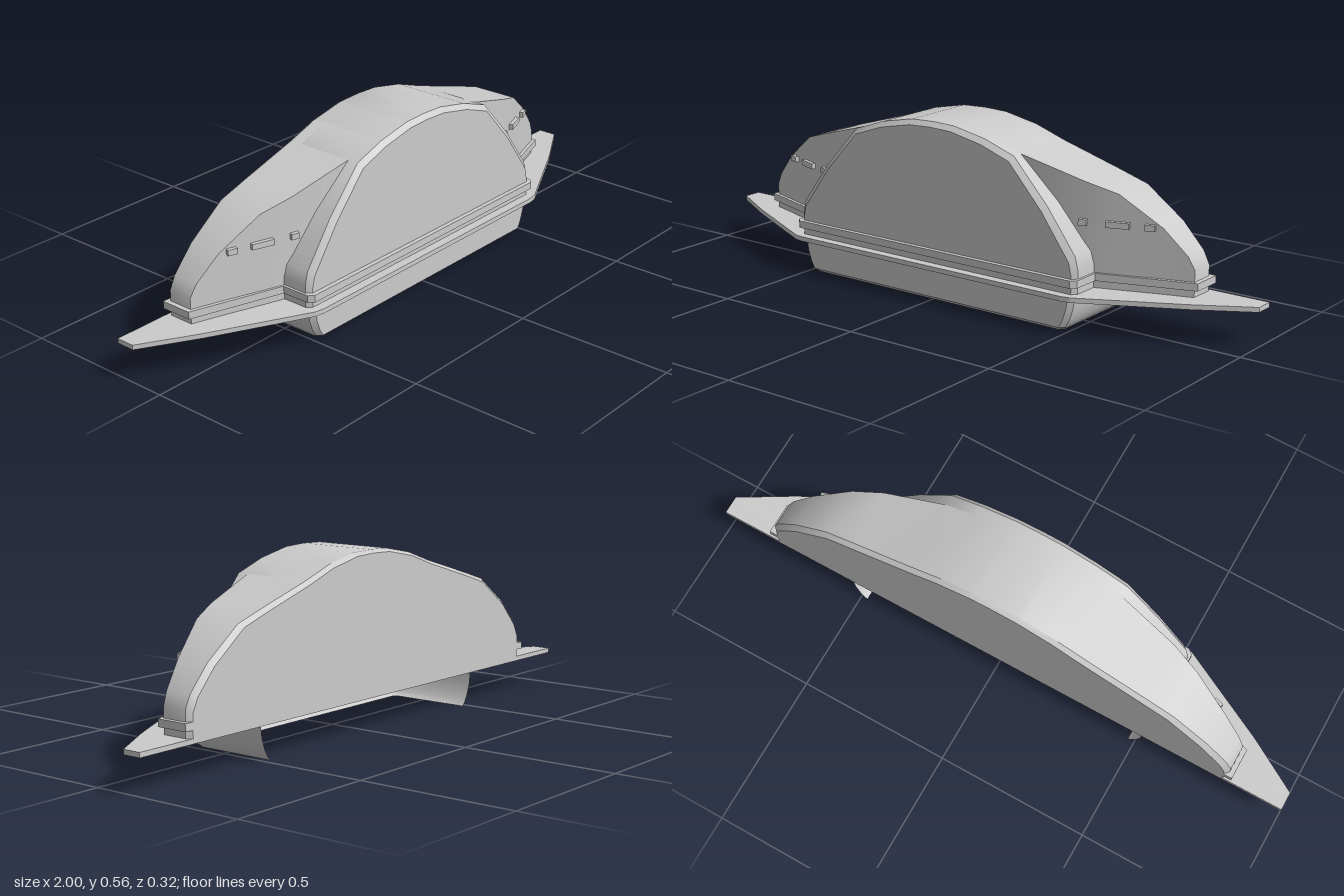
import * as THREE from 'three';
import { toCreasedNormals } from 'three/addons/utils/BufferGeometryUtils.js';

const grey = new THREE.MeshStandardMaterial({ color: 0xcccccc });
const greyThin = new THREE.MeshStandardMaterial({ color: 0xcccccc, side: THREE.DoubleSide });

const BACK = -0.16;
const BASE = 0.12;

// Half outline -> full outline running from +x to -x
const mirror = (half) => [...half, ...half.filter((p) => p[0] > 0).reverse().map(([x, ...rest]) => [-x, ...rest])];

// Skin over rows of points
function skin(name, rows, material = grey) {
  const n = rows[0].length;
  const index = [];
  for (let r = 0; r < rows.length - 1; r++) {
    for (let j = 0; j < n - 1; j++) {
      const a = r * n + j, d = a + n;
      index.push(a, a + 1, d + 1, a, d + 1, d);
    }
  }
  const geometry = new THREE.BufferGeometry();
  geometry.setAttribute('position', new THREE.Float32BufferAttribute(rows.flat(2), 3));
  geometry.setIndex(index);
  const mesh = new THREE.Mesh(toCreasedNormals(geometry, 0.6), material);
  mesh.name = name;
  return mesh;
}

// Horizontal slab from a plan outline of [x, z] points
function slab(name, half, y0, y1) {
  const shape = new THREE.Shape(mirror(half).map(([x, z]) => new THREE.Vector2(x, -z)));
  const geometry = new THREE.ExtrudeGeometry(shape, { depth: y1 - y0, bevelEnabled: false });
  geometry.rotateX(-Math.PI / 2).translate(0, y0, 0);
  const mesh = new THREE.Mesh(geometry, grey);
  mesh.name = name;
  return mesh;
}

// Upright body under a top outline: back wall, roof, front wall
function body(name, outline, backZ, frontZ, frontChamfer) {
  const inset = (amount) => outline.map(([x, y]) => [x * (1 - amount * 1.7), Math.max(BASE, y - amount)]);
  const at = (points, z) => points.map(([x, y]) => [x, y, z(x)]);
  const floor = (points) => points.map(([x]) => [x, BASE]);
  const backInset = inset(0.01);
  const frontInset = inset(frontChamfer);
  return skin(name, [
    at(floor(backInset), () => backZ),
    at(backInset, () => backZ),
    at(outline, () => backZ + 0.015),
    at(outline, (x) => frontZ(x) - frontChamfer),
    at(frontInset, frontZ),
    at(floor(frontInset), frontZ),
  ]);
}

// Depth of the slanting wing front at a given x
const slant = [[0.3, 0.08], [0.5, 0.042], [0.6, 0.008], [0.72, -0.035], [0.81, -0.064]];
function wingFront(x) {
  const ax = Math.min(Math.max(Math.abs(x), 0.3), 0.81);
  const i = Math.max(1, slant.findIndex((p) => p[0] >= ax));
  const [x0, z0] = slant[i - 1], [x1, z1] = slant[i];
  return z0 + (z1 - z0) * (ax - x0) / (x1 - x0);
}

export function createModel() {
  const group = new THREE.Group();
  group.name = 'domedFacade';

  // Shared crown of the central arch and the wings
  const crown = [[0.3, 0.495], [0.195, 0.531], [0.08, 0.554], [0, 0.557]];

  // Low wide body with both wings
  const wings = mirror([[0.81, BASE], [0.81, 0.2], [0.79, 0.24], [0.72, 0.316], [0.596, 0.406], [0.5, 0.436], ...crown]);
  group.add(body('wingBody', wings, BACK, wingFront, 0));

  // Central arch with chamfered front rim
  const arch = mirror([[0.53, BASE], [0.53, 0.19], [0.52, 0.23], [0.42, 0.365], ...crown]);
  group.add(body('centralArch', arch, -0.12, () => 0.13, 0.015));

  // Base plate
  group.add(slab('basePlate', [[1, BACK], [1, -0.1], [0.83, 0], [0.53, 0.155], [0.5, 0.16]], 0.105, BASE));

  // Moulding that follows the foot of the walls
  group.add(slab('moulding', [[0.825, BACK], [0.825, -0.057], [0.538, 0.037], [0.538, 0.13], [0.522, 0.145]], 0.143, 0.166));

  // Hanging skirt, open at the back and below
  const skirtRows = [[0.105, 0.52, 0.13], [0.07, 0.515, 0.13], [0.035, 0.503, 0.13], [0.012, 0.49, 0.13], [0, 0.478, 0.115]];
  group.add(skin('skirt', skirtRows.map(([y, x, z]) =>
    mirror([[x, BACK], [x, z - 0.015], [x - 0.015, z]]).map(([px, pz]) => [px, y, pz])), greyThin));

  // Small window slots on the wing fronts
  for (const side of [1, -1]) {
    for (const [x, width] of [[0.497, 0.025], [0.595, 0.07], [0.685, 0.03]]) {
      const slot = new THREE.Mesh(new THREE.BoxGeometry(width, 0.018, 0.022), grey);
      slot.name = 'windowSlot';
      slot.position.set(side * x, 0.316, wingFront(x) + 0.002);
      slot.rotation.y = side * 0.33;
      group.add(slot);
    }
  }
  return group;
}
